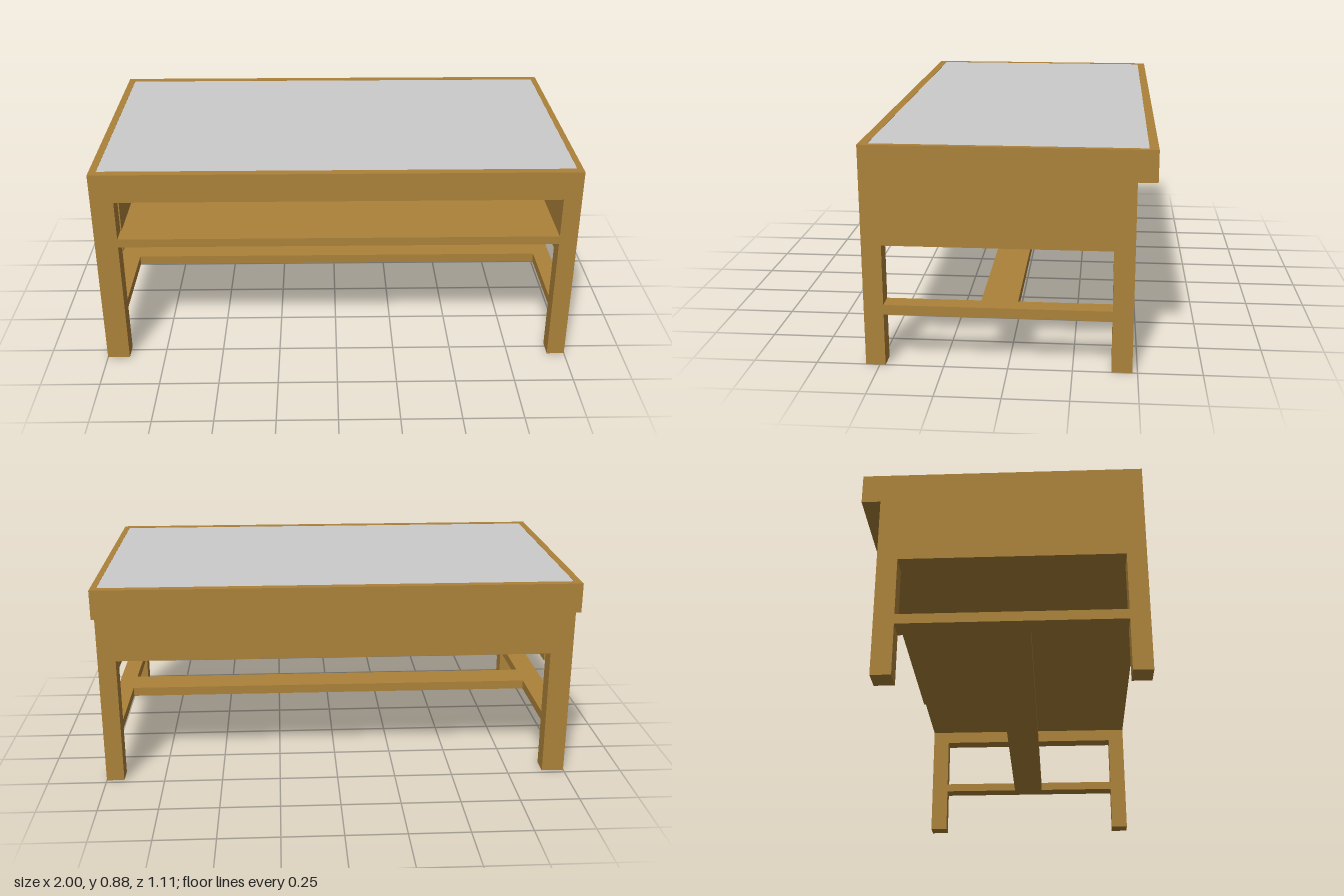
import * as THREE from 'three';

const wood = new THREE.MeshStandardMaterial({ color: 0xac8239 });
const grey = new THREE.MeshStandardMaterial({ color: 0xcccccc });

// Box given by its extents along each axis
function box(name, [x0, x1], [y0, y1], [z0, z1], material = wood) {
  const mesh = new THREE.Mesh(new THREE.BoxGeometry(x1 - x0, y1 - y0, z1 - z0), material);
  mesh.position.set((x0 + x1) / 2, (y0 + y1) / 2, (z0 + z1) / 2);
  mesh.name = name;
  return mesh;
}

export function createModel() {
  const table = new THREE.Group();
  table.name = 'coffeeTable';

  const topY = 0.88, slabY = 0.757, panelY = 0.49;
  const front = 0.555, frontIn = 0.478, back = -0.48, backIn = -0.4;
  const innerL = 0.925, innerR = -0.905;

  // Table top: board overhanging at the back, raised rim and flush inlay
  const top = new THREE.Group();
  top.name = 'tableTop';
  top.add(box('topBoard', [-1, 1], [slabY, 0.86], [-front, front]));
  const rim = new THREE.Shape([[-1, -front], [1, -front], [1, front], [-1, front]]
    .map(p => new THREE.Vector2(...p)));
  rim.holes.push(new THREE.Path([[-0.97, -0.52], [-0.97, 0.52], [0.975, 0.52], [0.975, -0.52]]
    .map(p => new THREE.Vector2(...p))));
  const rimMesh = new THREE.Mesh(
    new THREE.ExtrudeGeometry(rim, { depth: topY - 0.86, bevelEnabled: false }).rotateX(-Math.PI / 2), wood);
  rimMesh.position.y = 0.86;
  rimMesh.name = 'topRim';
  top.add(rimMesh, box('topInlay', [-0.97, 0.975], [0.86, 0.879], [-0.52, 0.52], grey));
  table.add(top);

  // Each end: two legs, a side panel and a low stretcher
  for (const [side, x, wallX] of [['left', [innerL, 1], [innerL, 1]], ['right', [-1, innerR], [-1, -0.9]]]) {
    const end = new THREE.Group();
    end.name = side + 'End';
    end.add(
      box('frontLeg', x, [0, slabY], [frontIn, front]),
      box('backLeg', x, [0, slabY], [back, backIn]),
      box('sidePanel', wallX, [panelY, slabY], [backIn, frontIn]),
      box('sideStretcher', x, [0.21, 0.25], [backIn, frontIn]));
    table.add(end);
  }

  // Open compartment below the top, and the long stretcher
  const span = [innerR, innerL];
  table.add(
    box('shelf', span, [0.55, 0.587], [back + 0.04, front]),
    box('backPanel', span, [0.55, slabY], [back, back + 0.04]),
    box('longStretcher', span, [0.21, 0.25], [-0.035, 0.108]));
  return table;
}
